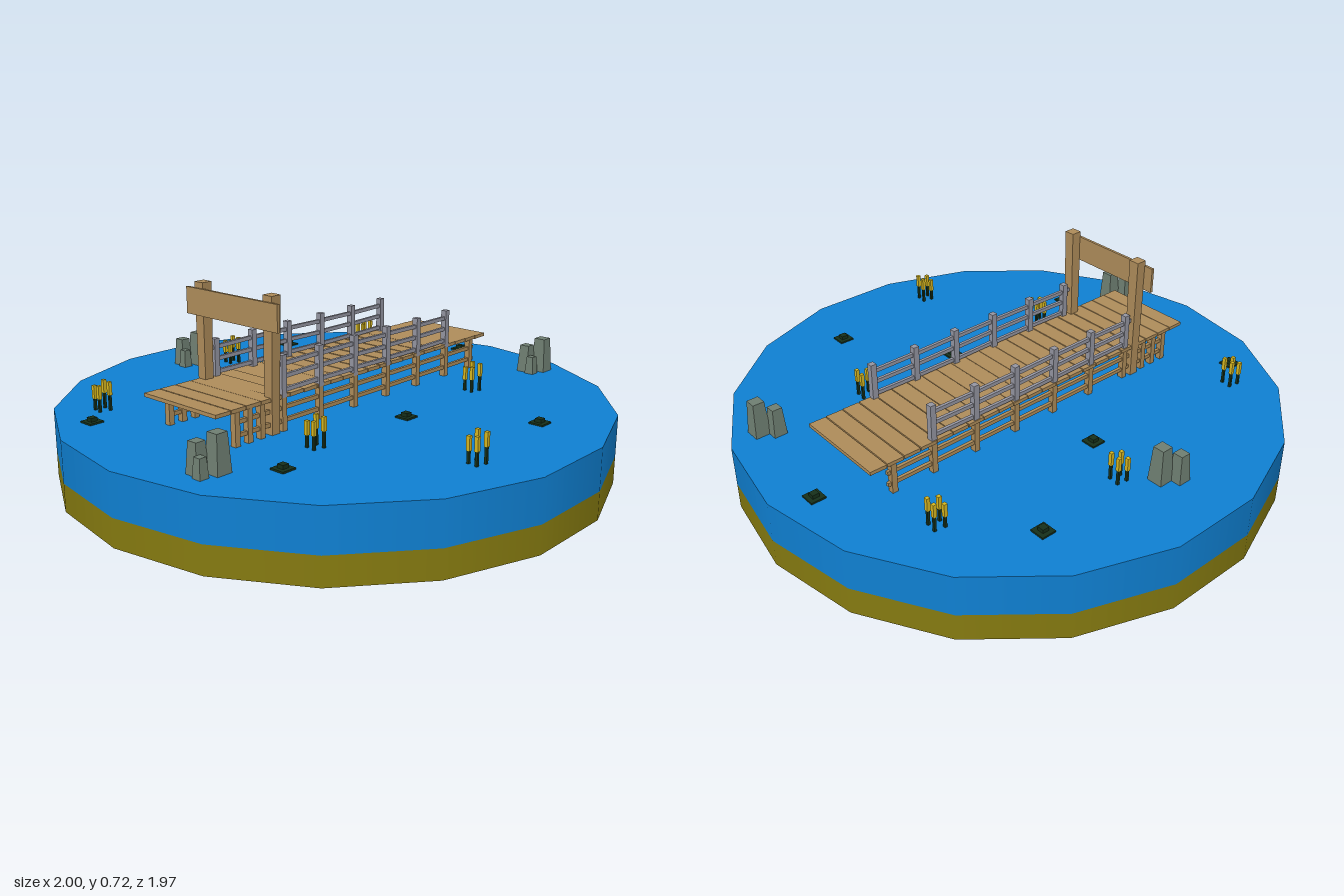
import * as THREE from 'three';

const mat = (color) => new THREE.MeshStandardMaterial({ color });
const water = mat(0x0f80d2), mud = mat(0x857a10), wood = mat(0xae8c5a);
const greyWood = mat(0x9596a2), stone = mat(0x6f7f72), darkGreen = mat(0x16301a);
const yellow = mat(0xd8b820);

const WATER_Y = 0.25;
const DECK_Z = -0.045;
const SIDES = [0.12, -0.205];

export function createModel() {
  const model = new THREE.Group();

  const add = (parent, name, geometry, material, x, y, z) => {
    const mesh = new THREE.Mesh(geometry, material);
    mesh.name = name;
    mesh.position.set(x, y, z);
    parent.add(mesh);
    return mesh;
  };
  const box = (parent, name, material, w, h, d, x, y, z) =>
    add(parent, name, new THREE.BoxGeometry(w, h, d), material, x, y, z);
  const group = (name, x = 0, y = 0, z = 0) => {
    const g = new THREE.Group();
    g.name = name;
    g.position.set(x, y, z);
    model.add(g);
    return g;
  };
  // Box whose top is scaled relative to its base
  const taperedBox = (w, h, d, topScale) => {
    const g = new THREE.BoxGeometry(w, h, d);
    const p = g.attributes.position;
    for (let i = 0; i < p.count; i++) {
      if (p.getY(i) > 0) p.setXYZ(i, p.getX(i) * topScale, p.getY(i), p.getZ(i) * topScale);
    }
    g.computeVertexNormals();
    return g;
  };
  // Small repeatable variation in -1..1
  const vary = (i) => Math.sin(i * 12.9898 + 1.3);

  // Round pond: mud bed below, water above
  const disc = (h) => new THREE.CylinderGeometry(1, 1, h, 18, 1, false, Math.PI / 2);
  add(model, 'mudBed', disc(0.1), mud, 0, 0.05, 0);
  add(model, 'water', disc(0.15), water, 0, 0.175, 0);

  // Deck planks
  const deck = group('deck');
  const pitch = 1.445 / 22;
  for (let i = 0; i < 22; i++) {
    const plank = box(deck, 'plank', wood, pitch - 0.003, 0.013, 0.35,
      -0.692 + pitch * (i + 0.5), 0.37 + 0.001 * vary(i), DECK_Z);
    plank.rotation.z = 0.02 * vary(i + 40);
  }

  // Support posts and lower rails
  const supports = group('supports');
  const postXs = [-0.6, -0.545, -0.49, -0.39, -0.213, -0.035, 0.143, 0.32, 0.498, 0.66];
  for (const z of SIDES) {
    for (const x of postXs) box(supports, 'supportPost', wood, 0.021, 0.16, 0.022, x, 0.285, z);
    for (const y of [0.33, 0.285]) box(supports, 'lowerRail', wood, 1.29, 0.014, 0.012, 0.037, y, z);
  }

  // Railings: six posts and three slightly uneven rails on each side
  const railing = group('railing');
  const railXs = postXs.slice(3, 9);
  SIDES.forEach((z, s) => {
    railXs.forEach((x, i) => {
      box(railing, 'railPost', greyWood, 0.022, 0.145, 0.022, x, 0.4375, z);
      if (i === 5) return;
      [0.48, 0.437, 0.39].forEach((y, r) => {
        const rail = box(railing, 'rail', greyWood, 0.185, 0.014, 0.011, x + 0.089, y, z);
        rail.rotation.z = 0.018 * vary(i * 3 + r + s * 17);
      });
    });
    box(railing, 'railEnd', greyWood, 0.03, 0.014, 0.011, -0.405, 0.48, z);
  });

  // Gateway: two posts with a plain board on the outer face
  const gate = group('gateway');
  for (const z of SIDES) {
    const post = add(gate, 'gatePost', taperedBox(0.034, 0.49, 0.034, 1.18), wood, -0.435, 0.47, z);
    post.rotation.x = z > 0 ? 0.015 : 0;
  }
  box(gate, 'gateBoard', wood, 0.01, 0.093, 0.435, -0.457, 0.648, -0.043);

  // Rock clusters
  const rockCentres = [[-0.79, 0.25], [0.82, 0.36], [-0.025, -0.725]];
  const rocks = [ // x, z, width, height
    [0, 0, 0.058, 0.13], [-0.047, -0.04, 0.05, 0.105], [-0.065, -0.005, 0.036, 0.067],
  ];
  for (const [cx, cz] of rockCentres) {
    const cluster = group('rockCluster', cx, WATER_Y, cz);
    for (const [x, z, w, h] of rocks) add(cluster, 'rock', taperedBox(w, h, w, 0.74), stone, x, h / 2, z);
  }

  // Lily pads
  const pads = [[0.435, -0.665], [-0.765, -0.415], [-0.01, -0.435], [0.87, -0.068],
    [-0.643, 0.373], [-0.01, 0.338], [0.242, 0.712]];
  for (const [x, z] of pads) {
    const pad = group('lilyPad', x, WATER_Y, z);
    box(pad, 'leaf', darkGreen, 0.055, 0.006, 0.055, 0, 0.003, 0);
    box(pad, 'bud', darkGreen, 0.025, 0.014, 0.025, 0, 0.012, 0);
  }

  // Reed clumps of four stalks with yellow heads
  const clumps = [[0.08, -0.635], [-0.655, -0.5], [0.665, -0.43], [-0.435, 0.315],
    [0.41, 0.32], [-0.21, 0.775]];
  const stalks = [ // x, z, top height
    [-0.02, -0.022, 0.09], [0.017, -0.017, 0.104], [-0.025, 0.012, 0.096], [0.013, 0.02, 0.104],
  ];
  for (const [cx, cz] of clumps) {
    const clump = group('reedClump', cx, WATER_Y, cz);
    for (const [x, z, top] of stalks) {
      box(clump, 'stalk', darkGreen, 0.009, top - 0.04, 0.009, x, (top - 0.04) / 2, z);
      box(clump, 'reedHead', yellow, 0.013, 0.048, 0.013, x, top - 0.024, z);
    }
  }

  return model;
}
